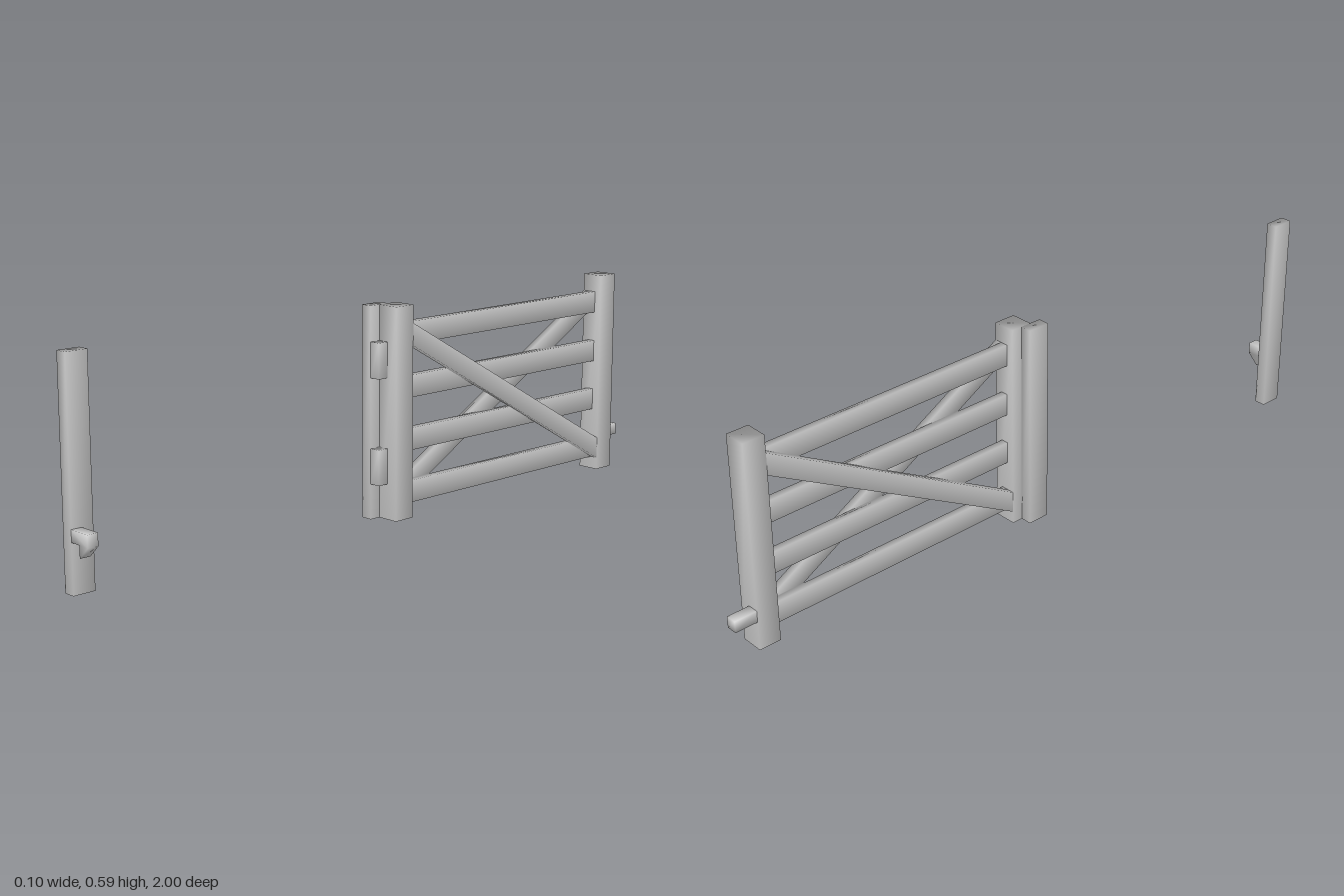
import * as THREE from 'three';
import { mergeVertices } from 'three/addons/utils/BufferGeometryUtils.js';

const material = new THREE.MeshStandardMaterial({ color: 0xcccccc });

// Shared corners give soft shading across the block edges
function soften(geometry) {
  geometry.deleteAttribute('normal');
  geometry.deleteAttribute('uv');
  const welded = mergeVertices(geometry, 1e-4);
  welded.computeVertexNormals();
  return welded;
}

// Block given by its limits on each axis
function block(name, [x0, x1], [y0, y1], [z0, z1]) {
  const geometry = new THREE.BoxGeometry(x1 - x0, y1 - y0, z1 - z0);
  geometry.translate((x0 + x1) / 2, (y0 + y1) / 2, (z0 + z1) / 2);
  const mesh = new THREE.Mesh(soften(geometry), material);
  mesh.name = name;
  return mesh;
}

export function createModel() {
  const model = new THREE.Group();
  model.name = 'fieldGate';
  const gate = new THREE.Group();
  gate.name = 'gate';
  model.add(gate);

  const H = 0.592;
  const postX = [-0.017, 0.048];
  const spanZ = [-0.87, -0.079];
  const third = (postX[1] - postX[0]) / 3;
  const layer = (i) => [postX[0] + third * i, postX[0] + third * (i + 1)];

  // Gate uprights
  gate.add(block('hingeStile', postX, [0, H], [-0.079, -0.015]));
  gate.add(block('latchStile', postX, [0, H], [-0.934, -0.87]));

  // Four horizontal rails in the middle layer
  const railY = (i) => [0.036 + 0.148 * i, 0.098 + 0.148 * i];
  for (let i = 0; i < 4; i++) gate.add(block('rail', layer(1), railY(i), spanZ));

  // Crossed braces, one on each side of the rails, sheared to end upright
  const rise = railY(3)[0] - railY(0)[0];
  for (const [index, slope] of [[0, -1], [2, 1]]) {
    const brace = block('diagonalBrace', layer(index), railY(1.5), spanZ);
    const position = brace.geometry.attributes.position;
    const length = spanZ[1] - spanZ[0], middle = (spanZ[0] + spanZ[1]) / 2;
    for (let i = 0; i < position.count; i++) {
      const t = (position.getZ(i) - middle) / length;
      position.setY(i, position.getY(i) + slope * t * rise);
    }
    brace.geometry.computeVertexNormals();
    gate.add(brace);
  }

  // Latch bar
  gate.add(block('latch', [-0.017, 0.015], [0.085, 0.118], [-1, -0.934]));

  // Fixed posts
  const fixedX = [-0.05, -0.017];
  model.add(block('hingePost', fixedX, [0, H], [-0.047, 0.018]));
  model.add(block('catchPost', fixedX, [0, H], [0.936, 1]));

  // Hinges
  for (const y of [0.1, 0.395]) {
    model.add(block('hinge', [-0.017, 0.015], [y, y + 0.099], [-0.015, 0.018]));
  }

  // Hooked catch
  const hook = new THREE.Shape([
    [-0.017, 0.165], [-0.017, 0.133], [0.015, 0.133],
    [0.015, 0.1], [0.048, 0.132], [0.048, 0.165],
  ].map(([x, y]) => new THREE.Vector2(x, y)));
  const hookGeometry = new THREE.ExtrudeGeometry(hook, { depth: 0.031, bevelEnabled: false });
  hookGeometry.translate(0, 0, 0.969);
  const latchCatch = new THREE.Mesh(soften(hookGeometry), material);
  latchCatch.name = 'catch';
  model.add(latchCatch);

  return model;
}
